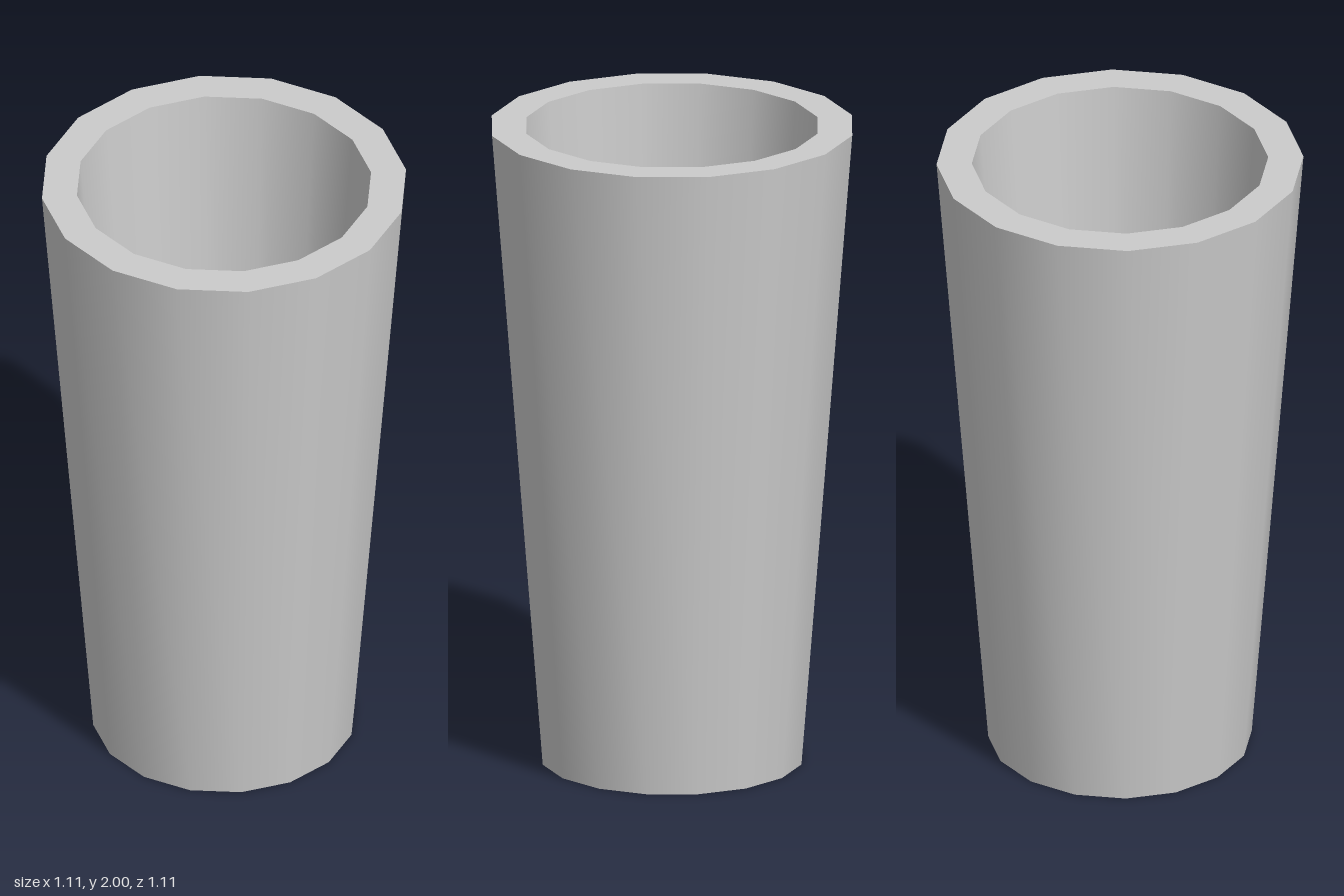
import * as THREE from 'three';

export function createModel() {
  const group = new THREE.Group();
  group.name = 'cup';
  const material = new THREE.MeshStandardMaterial({ color: 0xcccccc });

  // Cross-section as [radius, height], from the base centre up over the rim and down to the floor
  const profile = [
    [0, 0], [0.4, 0], [0.557, 2], [0.45, 2], [0.315, 0.24], [0, 0.24],
  ].map(([r, y]) => new THREE.Vector2(r, y));
  const names = ['base', 'outerWall', 'rim', 'innerWall', 'floor'];

  // One 16-sided band per part: smooth around, sharp where bands meet
  names.forEach((name, i) => {
    const band = new THREE.LatheGeometry([profile[i], profile[i + 1]], 16);
    const mesh = new THREE.Mesh(band, material);
    mesh.name = name;
    group.add(mesh);
  });
  return group;
}
